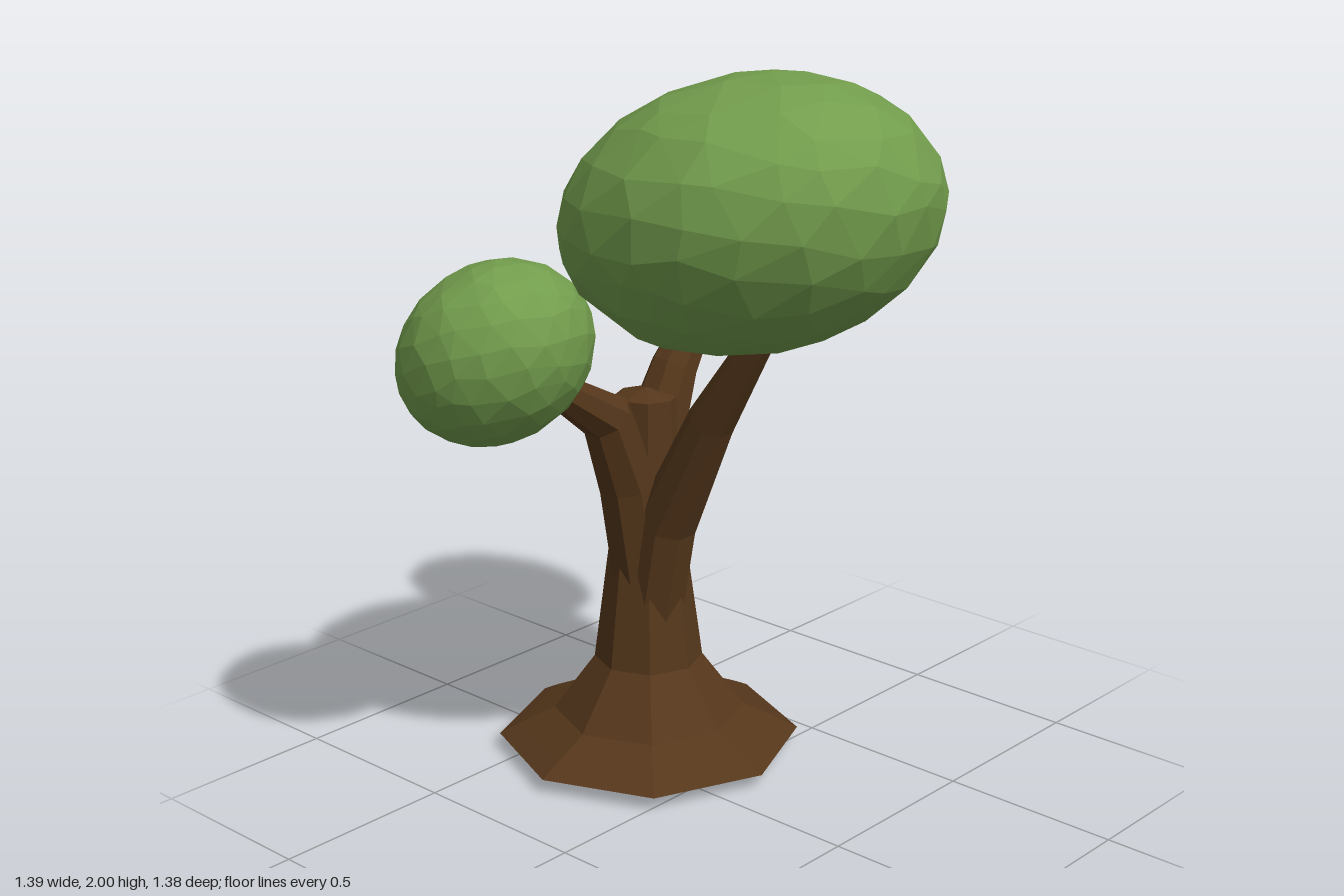
import * as THREE from 'three';

const SIDES = 8;
const flat = (color) => new THREE.MeshStandardMaterial({ color, flatShading: true });

// Tapered, bent limb: each point is [x, y, z, radius]; the tip is capped.
function limbGeometry(points) {
  const pos = [], index = [];
  const centres = points.map(([x, y, z]) => new THREE.Vector3(x, y, z));
  const last = points.length - 1;
  points.forEach((p, i) => {
    const t = centres[Math.min(i + 1, last)].clone().sub(centres[Math.max(i - 1, 0)]).normalize();
    const u = new THREE.Vector3(1, 0, 0).addScaledVector(t, -t.x).normalize();
    const w = t.clone().cross(u);
    for (let j = 0; j < SIDES; j++) {
      const a = ((j + 0.5) / SIDES) * Math.PI * 2;
      const v = centres[i].clone()
        .addScaledVector(u, Math.cos(a) * p[3])
        .addScaledVector(w, Math.sin(a) * p[3]);
      pos.push(v.x, v.y, v.z);
    }
  });
  const tip = pos.length / 3;
  pos.push(...centres[last].toArray());
  for (let i = 0; i <= last; i++) {
    for (let j = 0; j < SIDES; j++) {
      const a = i * SIDES + j, b = i * SIDES + ((j + 1) % SIDES);
      if (i < last) index.push(a, b, b + SIDES, a, b + SIDES, a + SIDES);
      else index.push(a, b, tip);
    }
  }
  const g = new THREE.BufferGeometry();
  g.setAttribute('position', new THREE.Float32BufferAttribute(pos, 3));
  g.setIndex(index);
  g.computeVertexNormals();
  return g;
}

// Faceted ball whose vertices slide a little over the sphere for uneven facets.
function crownGeometry() {
  const g = new THREE.IcosahedronGeometry(1, 3);
  const p = g.attributes.position;
  const v = new THREE.Vector3();
  for (let i = 0; i < p.count; i++) {
    v.fromBufferAttribute(p, i);
    const [x, y, z] = v.toArray().map((c) => Math.round(c * 1000) / 1000);
    const wobble = (k) => 0.06 * Math.sin(x * 17.3 * k + y * 23.1 + z * 31.7 / k + k);
    v.set(x + wobble(1), y + wobble(2), z + wobble(3)).normalize().multiplyScalar(1.005);
    p.setXYZ(i, v.x, v.y, v.z);
  }
  g.computeVertexNormals();
  return g;
}

export function createModel() {
  const tree = new THREE.Group();
  tree.name = 'tree';
  const bark = flat(0x55371b);

  const add = (name, geometry, material) => {
    const mesh = new THREE.Mesh(geometry, material);
    mesh.name = name;
    tree.add(mesh);
    return mesh;
  };

  // Trunk with a wide flared octagonal foot
  const profile = [
    [0, 0.005], [0.29, 0.012], [0.42, 0.045], [0.365, 0.075], [0.265, 0.125],
    [0.15, 0.28], [0.108, 0.6], [0.096, 0.85], [0.088, 1.04], [0, 1.06],
  ].map(([r, y]) => new THREE.Vector2(r, y));
  add('trunk', new THREE.LatheGeometry(profile, SIDES), bark).position.set(-0.28, 0, -0.115);

  // Three branches growing out of the trunk, one under each crown
  const branches = {
    leftBranch: [
      [-0.26, 0.36, -0.1, 0.085], [-0.195, 0.7, -0.1, 0.085],
      [-0.02, 1.03, -0.085, 0.064], [0.15, 1.28, -0.07, 0.042], [0.18, 1.335, -0.065, 0.038],
    ],
    frontBranch: [
      [-0.28, 0.5, -0.095, 0.085], [-0.28, 0.81, -0.04, 0.085],
      [-0.275, 1.02, 0.05, 0.072], [-0.27, 1.14, 0.235, 0.045], [-0.27, 1.18, 0.3, 0.038],
    ],
    backBranch: [
      [-0.28, 0.55, -0.125, 0.088], [-0.28, 0.95, -0.155, 0.084],
      [-0.275, 1.1, -0.22, 0.066], [-0.27, 1.27, -0.34, 0.045], [-0.27, 1.33, -0.385, 0.038],
    ],
  };
  for (const [name, points] of Object.entries(branches)) add(name, limbGeometry(points), bark);

  // Leaf crowns: tilted ellipsoids
  const green = flat(0x739d4d);
  const olive = flat(0x7a8c37);
  const crowns = [
    ['largeCrown', green, [0.22, 1.64, 0.04], [0.49, 0.34, 0.46], [-0.18, 0, 0.35]],
    ['frontCrown', green, [-0.275, 1.28, 0.44], [0.27, 0.22, 0.25], [-0.1, 0, 0.78]],
    ['backCrown', olive, [-0.275, 1.432, -0.448], [0.29, 0.192, 0.255], [-0.53, 0, 0]],
  ];
  const ball = crownGeometry();
  for (const [name, material, position, radii, tilt] of crowns) {
    const crown = add(name, ball, material);
    crown.position.set(...position);
    crown.scale.set(...radii);
    crown.rotation.set(...tilt);
  }
  return tree;
}
